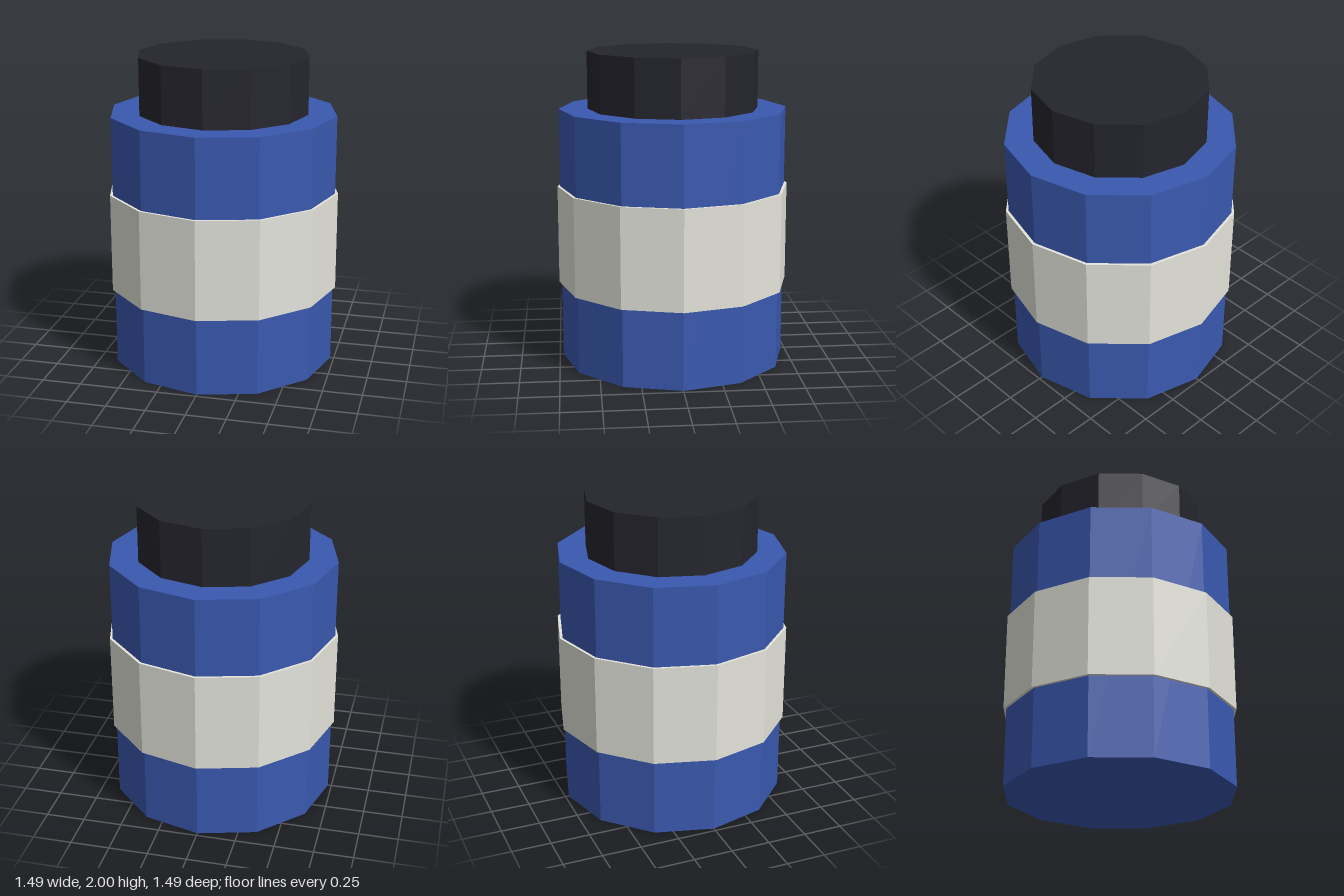
import * as THREE from 'three';

const SIDES = 12;

export function createModel() {
  const blue = new THREE.MeshStandardMaterial({ color: 0x3a59b0, flatShading: true });
  const cream = new THREE.MeshStandardMaterial({ color: 0xe4e4dc, flatShading: true });
  const black = new THREE.MeshStandardMaterial({ color: 0x25252e, flatShading: true });
  blue.name = 'blue';
  cream.name = 'cream';
  black.name = 'black';

  const model = new THREE.Group();
  model.name = 'jar';

  // Upright twelve-sided drum between two heights
  const drum = (name, radius, bottom, top, material) => {
    const height = top - bottom;
    const mesh = new THREE.Mesh(new THREE.CylinderGeometry(radius, radius, height, SIDES), material);
    mesh.name = name;
    mesh.position.y = bottom + height / 2;
    model.add(mesh);
  };

  drum('body', 0.727, 0, 1.636, blue);
  drum('labelBand', 0.745, 0.5, 1.136, cream);
  drum('lid', 0.545, 1.636, 2, black);

  return model;
}
